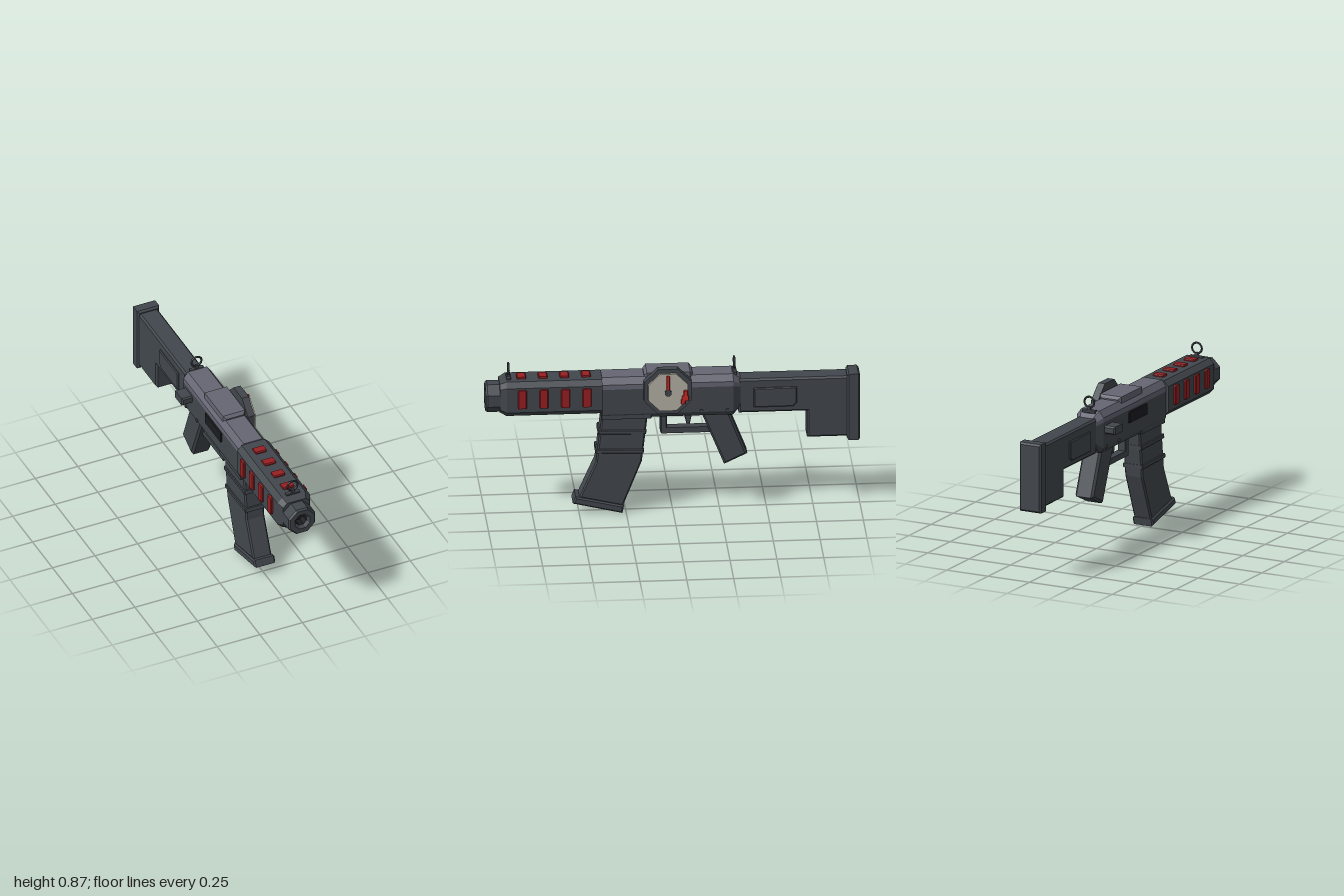
import * as THREE from 'three';

const mat = (name, color) => {
  const m = new THREE.MeshStandardMaterial({ color });
  m.name = name;
  return m;
};

export function createModel() {
  const dark = mat('dark grey', 0x42474d);
  const light = mat('light grey', 0x656673);
  const red = mat('vent red', 0x991f22);
  const bright = mat('needle red', 0xcc2a26);
  const cream = mat('dial cream', 0xb6b2a6);
  const black = mat('black', 0x1c1d20);
  const model = new THREE.Group();

  const add = (name, geo, material, x = 0, y = 0, z = 0) => {
    const g = geo.index ? geo.toNonIndexed() : geo;
    g.computeVertexNormals();
    const mesh = new THREE.Mesh(g, material);
    mesh.name = name;
    mesh.position.set(x, y, z);
    model.add(mesh);
    return mesh;
  };
  const shape = pts => new THREE.Shape(pts.map(p => new THREE.Vector2(...p)));
  const extrude = (pts, depth, b) => new THREE.ExtrudeGeometry(shape(pts), {
    depth: depth - 2 * b, bevelEnabled: b > 0, bevelThickness: b, bevelSize: b, bevelOffset: -b, bevelSegments: 1,
  }).translate(0, 0, b - depth / 2);

  // Side profile of [z, y] points, given a width along x
  const side = (name, pts, width, material = dark, b = 0.008, x = 0) =>
    add(name, extrude(pts, width, b).rotateY(-Math.PI / 2), material, x);

  // Cross-section of [x, y] points running from z0 to z1, scaled at the z1 end
  const section = (name, pts, z0, z1, material, taper = 1, cy = 0.685) => {
    const g = extrude(pts, Math.abs(z1 - z0), 0).translate(0, 0, (z0 + z1) / 2);
    const p = g.attributes.position;
    for (let i = 0; i < p.count; i++) {
      if (Math.abs(p.getZ(i) - z1) < 1e-4) {
        p.setXY(i, p.getX(i) * taper, cy + (p.getY(i) - cy) * taper);
      }
    }
    return add(name, g, material);
  };
  const mirror = half => [...half, ...half.slice().reverse().map(([x, y]) => [-x, y])];
  const box = (name, w, h, d, material, x, y, z, b = 0.005) =>
    add(name, extrude([[-w / 2, -h / 2], [w / 2, -h / 2], [w / 2, h / 2], [-w / 2, h / 2]], d, b), material, x, y, z);
  const octagon = (r, depth) => new THREE.CylinderGeometry(r, r, depth, 8, 1, false, Math.PI / 8).rotateZ(-Math.PI / 2);

  // Receiver: dark lower half and light upper half, both tapering at the back
  const lower = mirror([[0.065, 0.56], [0.08, 0.585], [0.08, 0.728]]);
  const upper = mirror([[0.08, 0.728], [0.08, 0.755], [0.055, 0.79]]);
  section('lowerReceiver', lower, 0.38, -0.32, dark);
  section('upperReceiver', upper, 0.38, -0.32, light);
  section('lowerReceiverBack', lower, -0.32, -0.37, dark, 0.6);
  section('upperReceiverBack', upper, -0.32, -0.37, light, 0.6);
  box('topCover', 0.13, 0.05, 0.26, light, 0, 0.787, 0.025, 0.015);

  // Handguard with tapered nose
  const guard = mirror([[0.067, 0.59], [0.095, 0.618], [0.095, 0.757], [0.067, 0.785]]);
  section('handguard', guard, 0.38, 0.89, dark);
  section('handguardNose', guard, 0.89, 0.925, dark, 0.82);

  // Vents on the top and both sides
  for (let i = 0; i < 4; i++) {
    const z = 0.462 + i * 0.115;
    box('topVent', 0.064, 0.03, 0.05, red, 0, 0.781, z);
    for (const s of [-1, 1]) box('sideVent', 0.03, 0.104, 0.048, red, s * 0.092, 0.695, z);
  }

  // Eight-sided muzzle with a recessed bore
  const lathe = pts => new THREE.LatheGeometry(pts.map(p => new THREE.Vector2(...p)), 8, Math.PI / 8).rotateX(Math.PI / 2);
  add('muzzle', lathe([[0.085, 0.9], [0.085, 0.99], [0.077, 1], [0.048, 1], [0.032, 0.985]]), dark, 0, 0.68);
  add('bore', lathe([[0.032, 0.985], [0.032, 0.94], [0, 0.94]]), black, 0, 0.68);

  // Ring sights on small wedge posts
  for (const z of [0.875, -0.33]) {
    add('sightRing', new THREE.TorusGeometry(0.03, 0.006, 6, 12), dark, 0, 0.835, z);
    section('sightPost', [[-0.018, 0.775], [0.018, 0.775], [0.005, 0.812], [-0.005, 0.812]], z - 0.008, z + 0.008, dark);
    box('sightBase', 0.08, 0.016, 0.025, dark, 0, 0.785, z, 0.003);
  }

  // Curved magazine, ribs and base plate
  side('magazine', [[0.38, 0.57], [0.134, 0.57], [0.166, 0.3], [0.267, 0.045], [0.5, 0.1], [0.412, 0.3]], 0.108, dark, 0.008);
  for (const y of [0.475, 0.365]) {
    const o = (0.56 - y) * 0.12;
    side('magazineRib', [[0.388 + o, y + 0.012], [0.132 + o, y + 0.006], [0.134 + o, y - 0.018], [0.391 + o, y - 0.012]], 0.122, dark, 0.004);
  }
  side('magazineBase', [[0.52, 0.107], [0.262, 0.048], [0.27, 0.005], [0.535, 0.068]], 0.122);
  box('magazineWell', 0.15, 0.035, 0.27, dark, 0, 0.572, 0.25);

  // Pistol grip, trigger and guard
  side('grip', [[-0.15, 0.57], [-0.3, 0.57], [-0.397, 0.325], [-0.273, 0.267]], 0.11, dark, 0.012);
  side('trigger', [[-0.055, 0.57], [-0.11, 0.57], [-0.092, 0.49], [-0.075, 0.49]], 0.025, dark, 0.003);
  box('triggerGuardFront', 0.05, 0.125, 0.035, dark, 0, 0.51, 0.048);
  box('triggerGuardBottom', 0.05, 0.032, 0.28, dark, 0, 0.461, -0.075);
  for (const s of [-1, 1]) {
    for (const z of [-0.15, -0.29]) {
      add('pin', new THREE.CylinderGeometry(0.011, 0.011, 0.008, 8).rotateZ(Math.PI / 2), dark, s * 0.081, 0.59, z);
    }
  }

  // Stock with cheek panels and butt plate
  side('stock', [[-0.35, 0.755], [-0.35, 0.562], [-0.715, 0.562], [-0.715, 0.41], [-0.95, 0.41], [-0.95, 0.755]], 0.112, dark, 0.01);
  for (const s of [-1, 1]) {
    side('stockPanel', [[-0.43, 0.705], [-0.43, 0.595], [-0.64, 0.595], [-0.66, 0.615], [-0.66, 0.705]], 0.02, dark, 0.005, s * 0.055);
  }
  box('buttPlate', 0.13, 0.38, 0.07, dark, 0, 0.58, -0.963, 0.01);

  // Charging handle and ejection port on the right
  box('chargingHandle', 0.07, 0.045, 0.095, dark, -0.105, 0.685, -0.258, 0.008);
  box('ejectionPort', 0.012, 0.06, 0.2, black, -0.082, 0.688, 0.06, 0.002);

  // Gauge on the left: housing, dial, needle and marker
  const gy = 0.722, gz = 0.032;
  add('gaugeHousing', octagon(0.138, 0.04), dark, 0.093, gy, gz);
  add('gaugeDial', octagon(0.114, 0.02), cream, 0.117, gy, gz);
  box('gaugeNeedle', 0.012, 0.1, 0.016, bright, 0.133, 0.769, gz, 0.002);
  add('gaugeHub', octagon(0.019, 0.014), dark, 0.133, gy, gz);
  const marks = [[0.715, -0.062, 0.036, 0.022], [0.69, -0.06, 0.028, 0.036], [0.67, -0.048, 0.026, 0.024]];
  for (const [y, z, h, d] of marks) box('gaugeMarker', 0.012, h, d, bright, 0.132, y, z, 0.002);

  return model;
}
